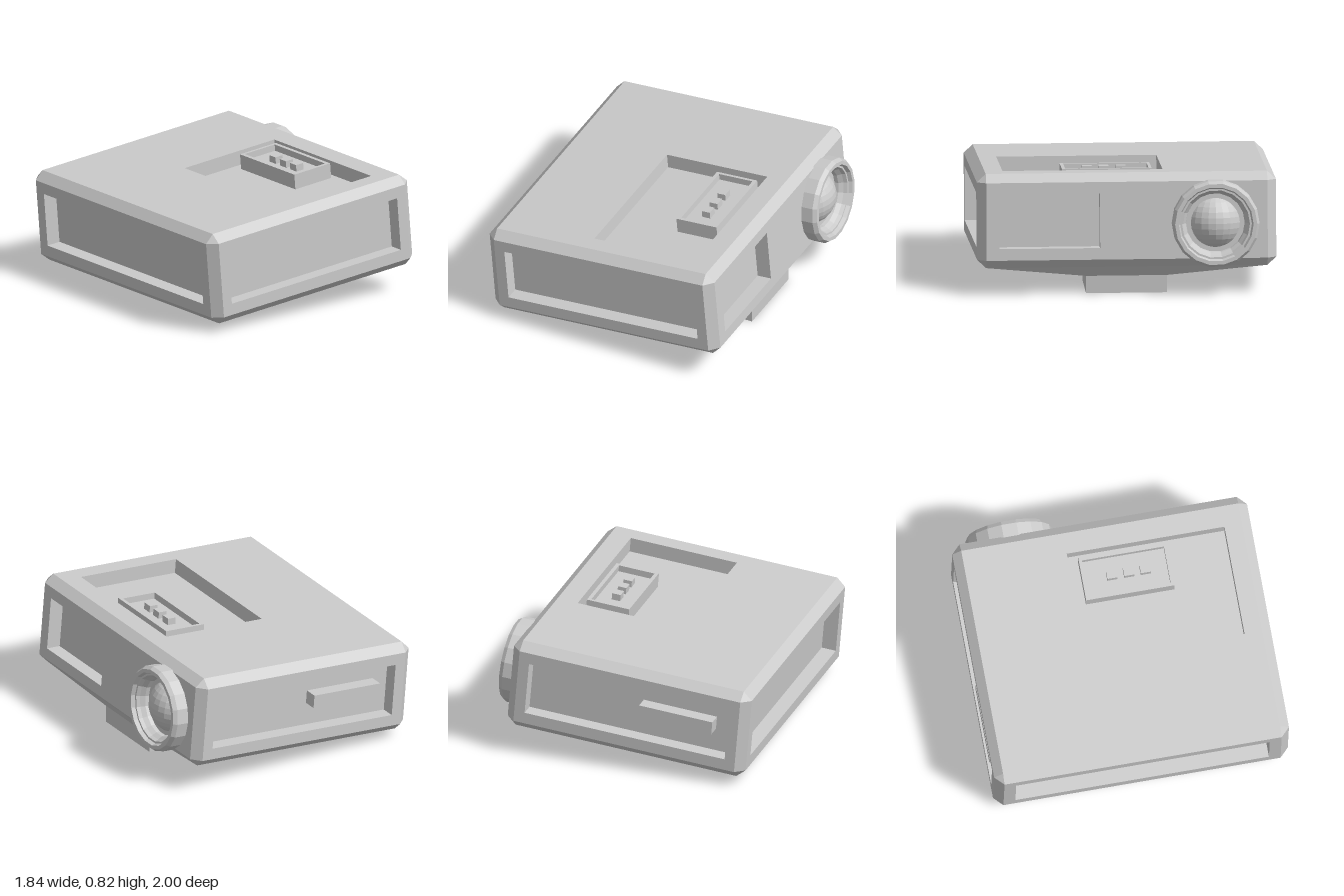
import * as THREE from 'three';

const mat = new THREE.MeshStandardMaterial({ color: 0xcccccc, flatShading: true });
const H = [0.844, 0.317, 1]; // body half sizes
const C = [0.061, 0.056, 0.06]; // chamfer per axis
const IN = H.map((h, i) => h - C[i]);
const V = (x, y, z) => new THREE.Vector3(x, y, z);

function add(parent, name, geometry) {
  const mesh = new THREE.Mesh(geometry, mat);
  mesh.name = name;
  parent.add(mesh);
  return mesh;
}

function fromPoints(points) {
  const g = new THREE.BufferGeometry().setFromPoints(points);
  g.computeVertexNormals();
  return g;
}

// Counter-clockwise rectangle at height z
const rect = (x0, x1, y0, y1, z) => [V(x0, y0, z), V(x1, y0, z), V(x1, y1, z), V(x0, y1, z)];

// Joins four-cornered rings from outside to inside and caps the last one
function loft(rings) {
  const pts = [];
  const quad = (a, b, c, d) => pts.push(a, b, c, a, c, d);
  for (let r = 0; r + 1 < rings.length; r++) {
    for (let i = 0; i < 4; i++) {
      const j = (i + 1) % 4;
      quad(rings[r][i], rings[r][j], rings[r + 1][j], rings[r + 1][i]);
    }
  }
  quad(...rings[rings.length - 1]);
  return fromPoints(pts);
}

// Flat face with a rectangular recess
function recessed(hw, hh, hole, depth) {
  return loft([rect(-hw, hw, -hh, hh, 0), rect(...hole, 0), rect(...hole, -depth)]);
}

// Bevelled edges and corner triangles of the body
function chamfers() {
  const pts = [];
  const tri = (a, b, c) => {
    const n = b.clone().sub(a).cross(c.clone().sub(a));
    if (n.dot(a.clone().add(b).add(c)) < 0) pts.push(a, c, b);
    else pts.push(a, b, c);
  };
  const corner = (axis, s) => V(...s.map((v, i) => v * (i === axis ? H[i] : IN[i])));
  for (let a = 0; a < 3; a++) {
    const b = (a + 1) % 3, c = (a + 2) % 3;
    for (const sa of [-1, 1]) for (const sb of [-1, 1]) {
      const s0 = [], s1 = [];
      s0[a] = s1[a] = sa;
      s0[b] = s1[b] = sb;
      s0[c] = -1;
      s1[c] = 1;
      const p = corner(a, s0), q = corner(a, s1), r = corner(b, s1), t = corner(b, s0);
      tri(p, q, r);
      tri(p, r, t);
    }
  }
  for (const x of [-1, 1]) for (const y of [-1, 1]) for (const z of [-1, 1])
    tri(...[0, 1, 2].map(axis => corner(axis, [x, y, z])));
  return fromPoints(pts);
}

export function createModel() {
  const model = new THREE.Group();
  model.name = 'projector';

  // Body leans up towards the lens side
  const body = new THREE.Group();
  body.name = 'body';
  body.position.set(-0.06, 0.438, 0);
  body.rotation.z = THREE.MathUtils.degToRad(4.9);
  body.updateMatrix();
  model.add(body);
  add(body, 'bodyChamfers', chamfers());

  // Side faces with recessed panels
  const depth = 0.1;
  const wide = [-0.71, 0.71, -0.183, 0.183];
  add(body, 'frontPanel', recessed(IN[0], IN[1], wide, depth)).position.z = H[2];

  const back = add(body, 'backPanel', recessed(IN[0], IN[1], wide, depth));
  back.position.z = -H[2];
  back.rotation.y = Math.PI;

  const lensSide = add(body, 'lensSidePanel', recessed(IN[2], IN[1], [-0.855, -0.18, -0.183, 0.183], depth));
  lensSide.position.x = H[0];
  lensSide.rotation.y = Math.PI / 2;

  const farSide = add(body, 'farSidePanel', recessed(IN[2], IN[1], [-0.86, 0.86, -0.183, 0.183], depth));
  farSide.position.x = -H[0];
  farSide.rotation.y = -Math.PI / 2;

  add(body, 'backBar', new THREE.BoxGeometry(0.52, 0.09, 0.1)).position.set(-0.34, 0.02, -0.945);

  // Top face, with the control tray standing in its recess
  const top = new THREE.Group();
  top.name = 'top';
  top.position.y = H[1];
  top.rotation.x = -Math.PI / 2;
  body.add(top);
  add(top, 'topPanel', recessed(IN[0], IN[2], [-0.113, 0.64, -0.82, 0.25], depth));
  add(top, 'controlTray', loft([
    rect(0.299, 0.6, -0.42, 0.18, -depth),
    rect(0.299, 0.6, -0.42, 0.18, 0.004),
    rect(0.324, 0.575, -0.397, 0.16, 0.004),
    rect(0.324, 0.575, -0.397, 0.16, -0.04),
  ]));
  for (const z of [0.02, 0.135, 0.247])
    add(top, 'button', new THREE.BoxGeometry(0.06, 0.068, 0.05)).position.set(0.449, -z, -0.019);

  // Lens ring and glass
  const lens = new THREE.Group();
  lens.name = 'lens';
  lens.position.set(0, -0.02, -0.59);
  body.add(lens);
  const profile = [
    [0.19, 0.8], [0.2, 0.87], [0.218, 0.9], [0.227, 0.925], [0.24, 0.925],
    [0.25, 0.952], [0.275, 0.952], [0.292, 0.925], [0.292, 0.78],
  ].map(([r, h]) => new THREE.Vector2(r, h)).reverse();
  const ring = add(lens, 'lensRing', new THREE.LatheGeometry(profile, 18));
  ring.rotation.z = -Math.PI / 2;
  ring.material = mat.clone();
  ring.material.side = THREE.DoubleSide;
  add(lens, 'lensGlass', new THREE.SphereGeometry(0.195, 24, 16)).position.x = 0.74;

  // Underside sloping into a level foot
  const toBody = body.matrix.clone().invert();
  const footRing = (y0, y1) => [
    V(0.28, y0, -0.27), V(0.7, y1, -0.27), V(0.7, y1, 0.27), V(0.28, y0, 0.27),
  ].map(p => p.applyMatrix4(toBody));
  const base = [[-1, -1], [1, -1], [1, 1], [-1, 1]].map(([x, z]) => V(x * IN[0], -H[1], z * IN[2]));
  add(body, 'undersideAndFoot', loft([base, footRing(0.105, 0.118), footRing(0, 0)]));

  return model;
}
